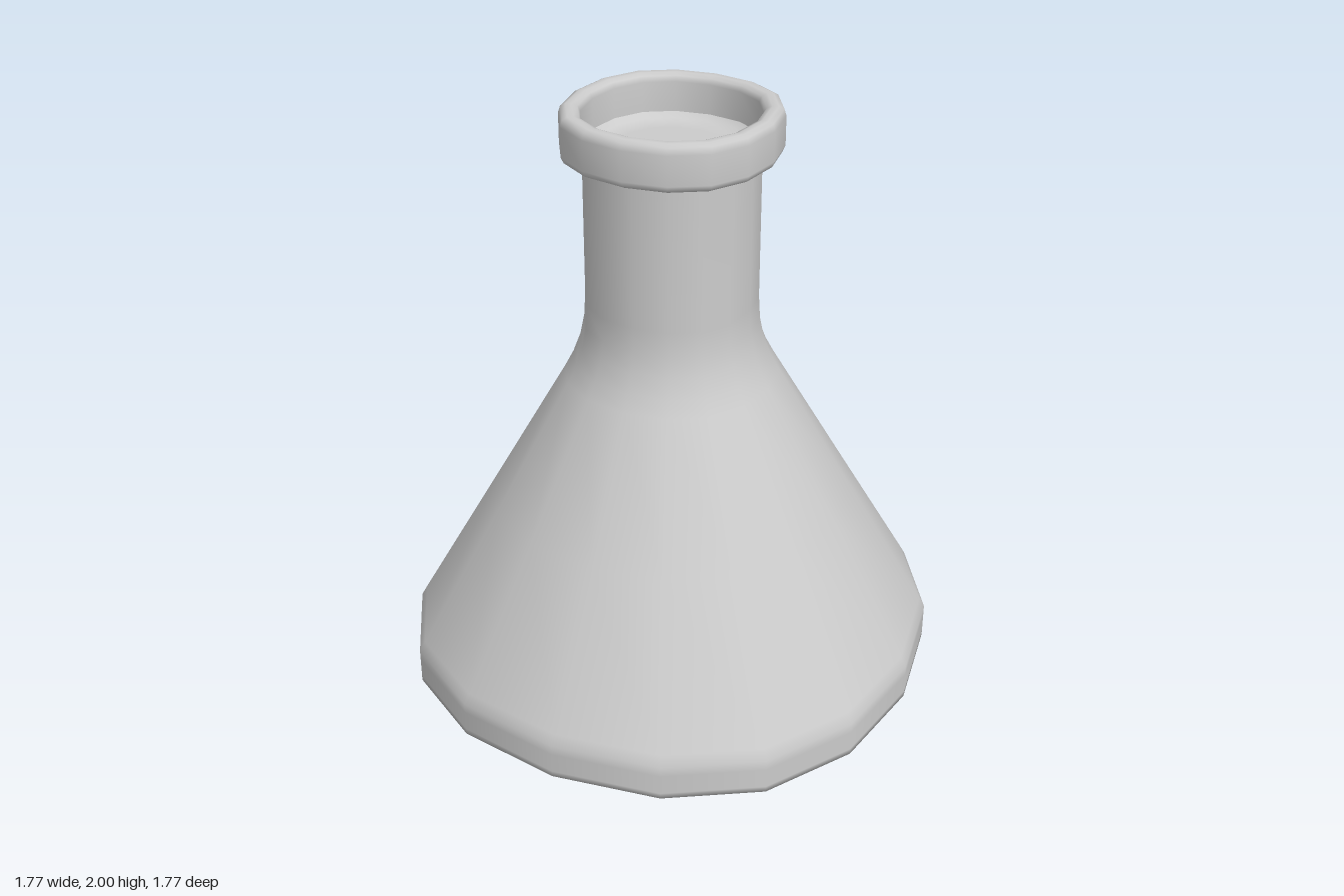
import * as THREE from 'three';

const SIDES = 16;

// Turned part with 16 sides, slightly fuller towards the diagonals
function turned(name, profile) {
  const geo = new THREE.LatheGeometry(profile.map(([r, y]) => new THREE.Vector2(r, y)), SIDES);
  const p = geo.attributes.position;
  for (let i = 0; i < p.count; i++) {
    const x = p.getX(i), z = p.getZ(i);
    const rr = x * x + z * z || 1;
    p.setX(i, x * (1 + 0.077 * z * z / rr));
    p.setZ(i, z * (1 + 0.077 * x * x / rr));
  }
  const mesh = new THREE.Mesh(geo, new THREE.MeshStandardMaterial({ color: 0xcccccc, side: THREE.DoubleSide }));
  mesh.name = name;
  return mesh;
}

export function createModel() {
  const group = new THREE.Group();
  group.name = 'conicalFlask';

  group.add(
    // flat underside, upright foot, cone, curved shoulder and straight neck
    turned('body', [
      [0, 0], [0.74, 0], [0.887, 0], [0.887, 0.02], [0.887, 0.09], [0.887, 0.125], [0.868, 0.16],
      [0.6, 0.635], [0.35, 1.08], [0.322, 1.135], [0.298, 1.2], [0.284, 1.27], [0.279, 1.35], [0.279, 1.85],
    ]),
    // rounded collar around the mouth
    turned('rim', [
      [0.27, 1.845], [0.325, 1.845], [0.34, 1.853], [0.348, 1.872], [0.348, 1.97], [0.341, 1.992],
      [0.325, 2], [0.305, 2], [0.288, 1.993], [0.28, 1.975], [0.28, 1.87],
    ]),
    // shallow floor inside the mouth, rounded up into the collar
    turned('mouthFloor', [[0.28, 1.875], [0.262, 1.858], [0.23, 1.85], [0.2, 1.85], [0, 1.85]]),
  );
  return group;
}
